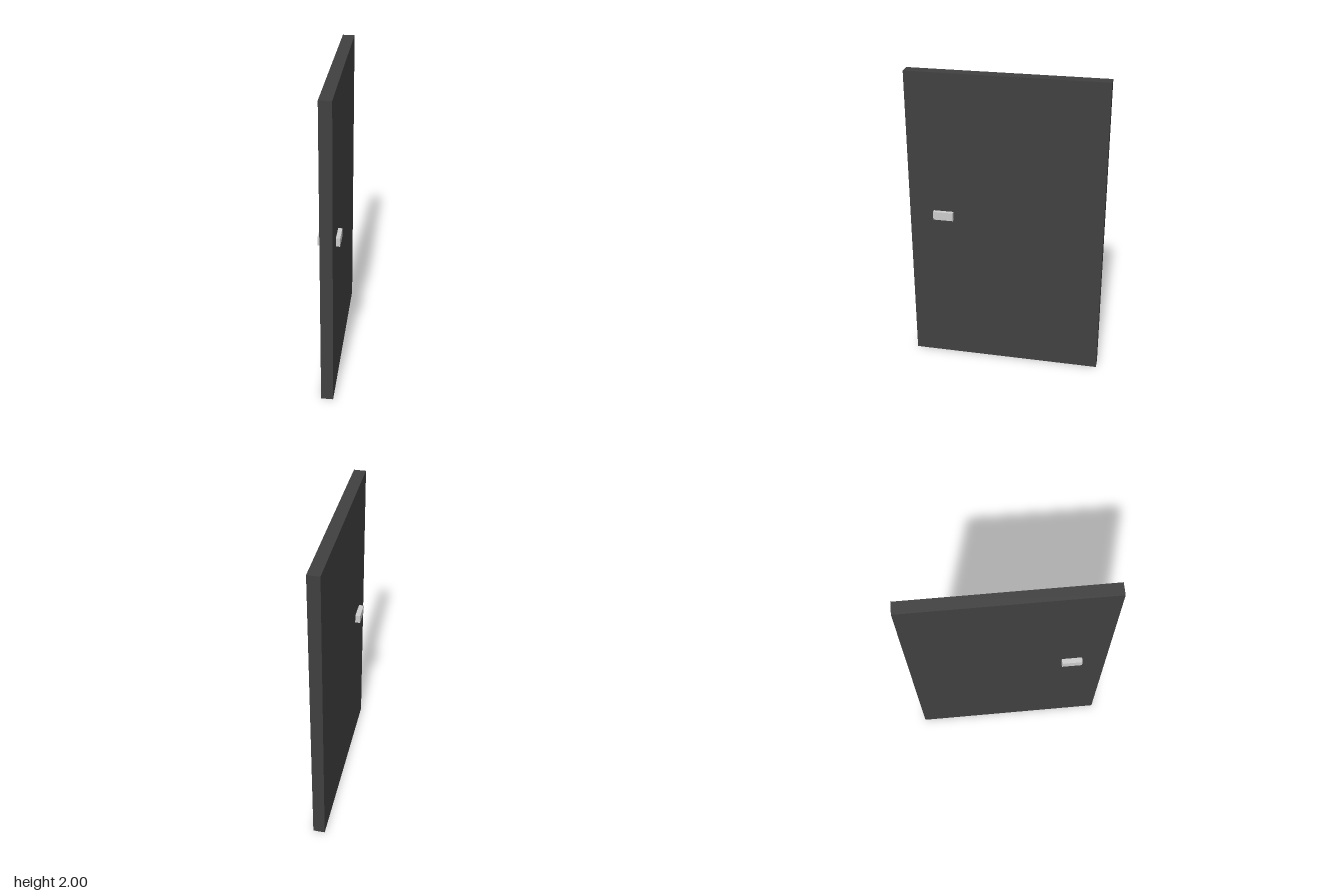
import * as THREE from 'three';

// Box spanning the given [min, max] range on each axis
function boxBetween(name, [x0, x1], [y0, y1], [z0, z1], color) {
  const mesh = new THREE.Mesh(
    new THREE.BoxGeometry(x1 - x0, y1 - y0, z1 - z0),
    new THREE.MeshStandardMaterial({ color })
  );
  mesh.position.set((x0 + x1) / 2, (y0 + y1) / 2, (z0 + z1) / 2);
  mesh.name = name;
  return mesh;
}

export function createModel() {
  const door = new THREE.Group();
  door.name = 'door';

  // Door slab, standing edge-on to the front
  const slabX = [-0.035, 0.042];
  door.add(boxBetween('doorPanel', slabX, [0, 2], [-0.63, 0.63], 0x404040));

  // One block handle on each face of the slab
  const handleY = [1.027, 1.082], handleZ = [0.34, 0.47];
  door.add(boxBetween('leftHandle', [slabX[1], 0.068], handleY, handleZ, 0xcccccc));
  door.add(boxBetween('rightHandle', [-0.068, slabX[0]], handleY, handleZ, 0xcccccc));

  return door;
}
